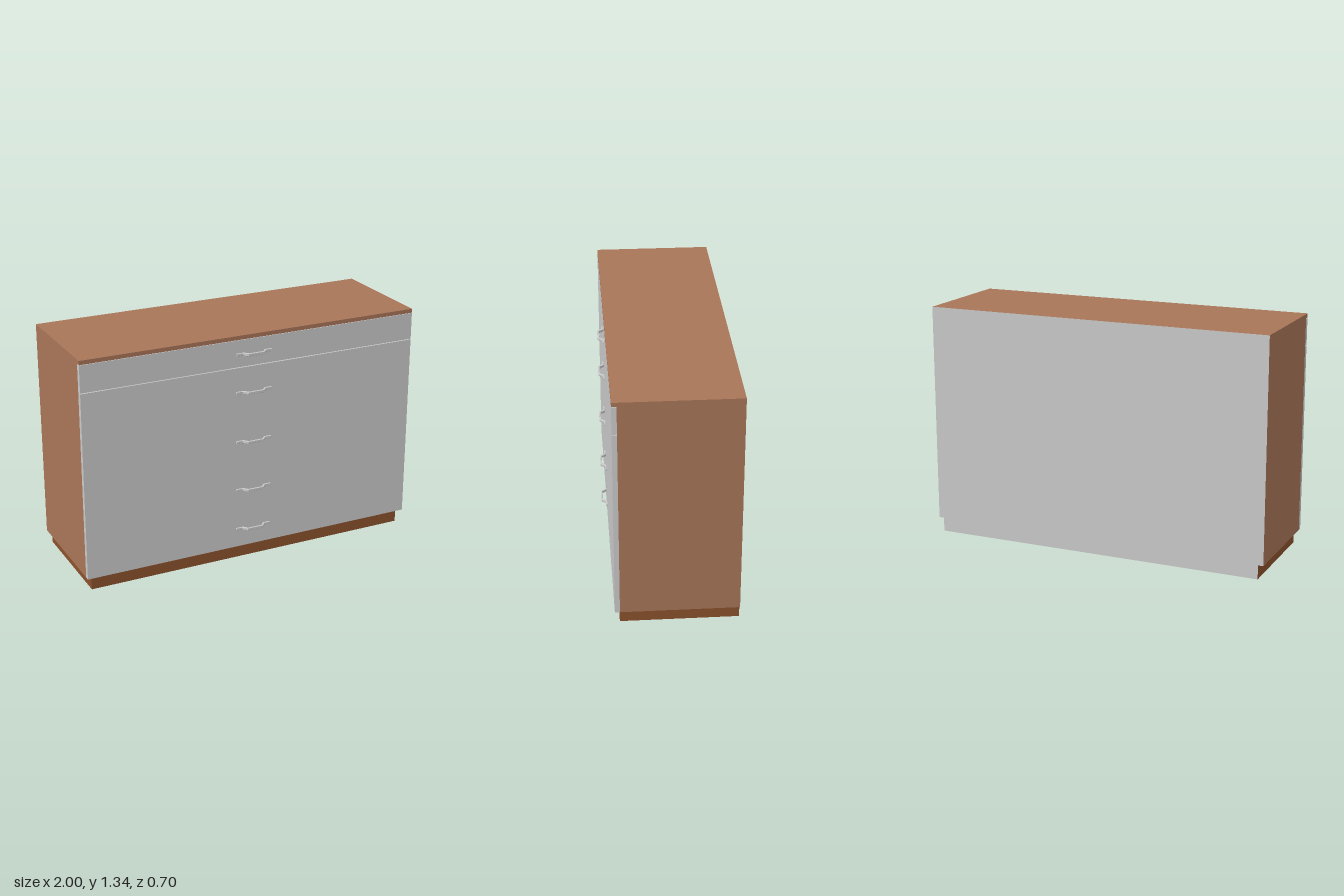
import * as THREE from 'three';

const wood = new THREE.MeshStandardMaterial({ color: 0xa87558 });
wood.name = 'wood';
const darkWood = new THREE.MeshStandardMaterial({ color: 0x8a512b });
darkWood.name = 'darkWood';
const grey = new THREE.MeshStandardMaterial({ color: 0xc9c9c9 });
grey.name = 'grey';

// Box given by its min and max corners
function box(name, [x0, y0, z0], [x1, y1, z1], material) {
  const geometry = new THREE.BoxGeometry(x1 - x0, y1 - y0, z1 - z0);
  const mesh = new THREE.Mesh(geometry, material);
  mesh.position.set((x0 + x1) / 2, (y0 + y1) / 2, (z0 + z1) / 2);
  mesh.name = name;
  return mesh;
}

// Bent strip: flat feet, sloping arms and a straight grip
function handleGeometry() {
  const height = 0.016, bevel = 0.002;
  const outer = [[0.105, 0.007], [0.071, 0.007], [0.047, 0.033]];
  const inner = [[0.043, 0.027], [0.064, 0.002], [0.105, 0.002]];
  const mirror = (points) => points.map(([x, z]) => [-x, z]).reverse();
  const outline = [...outer, ...mirror(outer), ...mirror(inner), ...inner];
  const shape = new THREE.Shape(outline.map(([x, z]) => new THREE.Vector2(x, z)));
  const geometry = new THREE.ExtrudeGeometry(shape, {
    depth: height - 2 * bevel, bevelThickness: bevel, bevelSize: bevel, bevelSegments: 1,
  });
  geometry.translate(0, 0, bevel - height / 2);
  return geometry.rotateX(Math.PI / 2);
}

export function createModel() {
  const model = new THREE.Group();
  model.name = 'chestOfDrawers';

  // Plinth, carcass and top; backs and undersides are grey
  const faces = (side, top, front) => [side, side, top, grey, front, grey];
  model.add(
    box('plinth', [-0.97, 0, -0.35], [0.97, 0.08, 0.29], faces(darkWood, darkWood, darkWood)),
    box('carcass', [-1, 0.08, -0.35], [1, 1.312, 0.29], faces(wood, wood, grey)),
    box('topBoard', [-1, 1.312, -0.35], [1, 1.335, 0.317], faces(wood, wood, wood)),
  );

  // Front panels with a narrow gap between them
  model.add(
    box('lowerFront', [-1, 0.08, 0.29], [1, 1.153, 0.317], grey),
    box('upperFront', [-1, 1.157, 0.29], [1, 1.31, 0.317], grey),
  );

  // Column of handles
  const geometry = handleGeometry();
  for (const y of [0.19, 0.43, 0.72, 1.01, 1.23]) {
    const handle = new THREE.Mesh(geometry, grey);
    handle.name = 'handle';
    handle.position.set(0, y, 0.317);
    model.add(handle);
  }
  return model;
}
